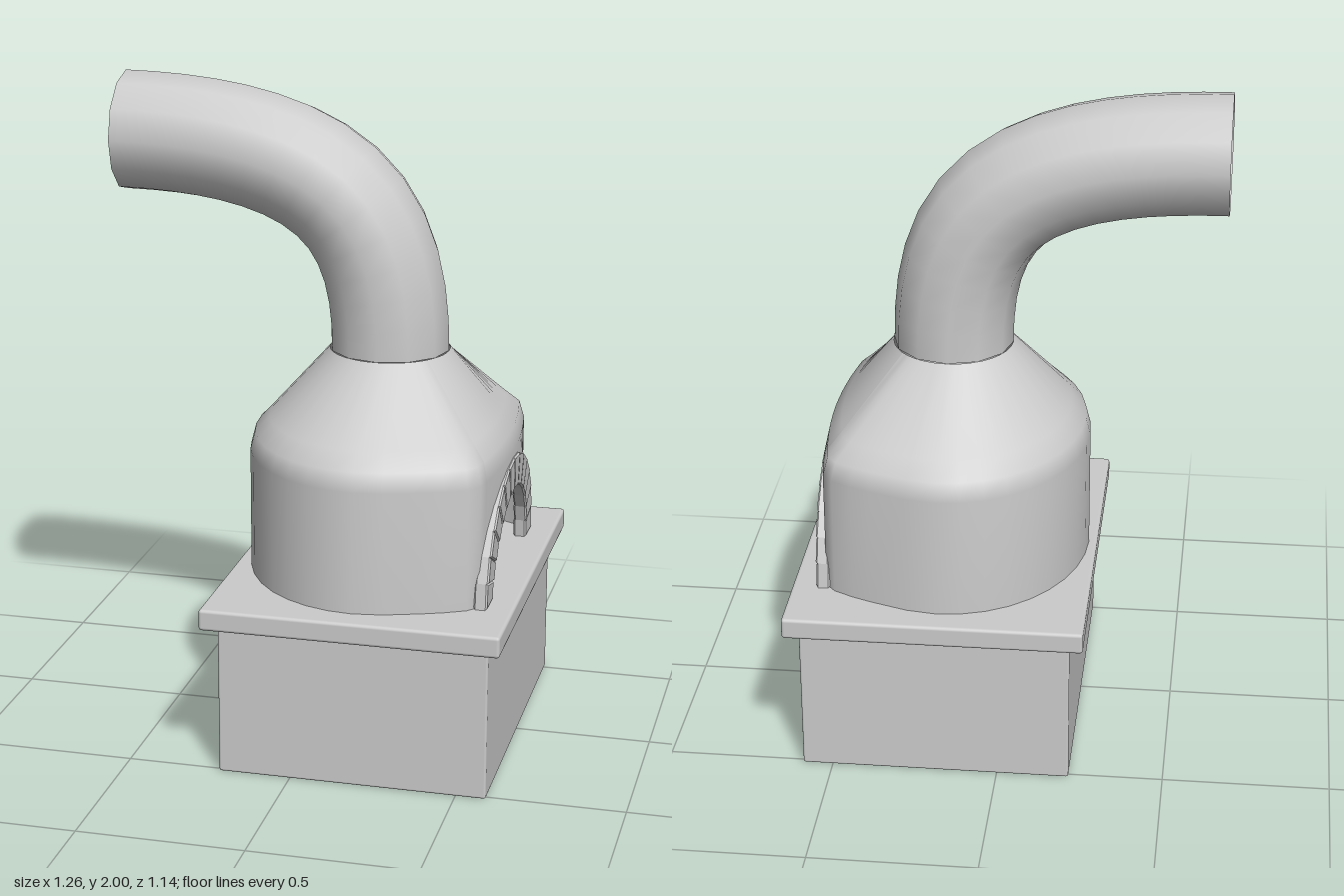
import * as THREE from 'three';
import { RoundedBoxGeometry } from 'three/addons/geometries/RoundedBoxGeometry.js';

const CX = 0.18;        // axis of the oven and flue
const FLOOR = 0.53;     // top of the slab
const FLUE_R = 0.18;

function grey(double = false) {
  return new THREE.MeshStandardMaterial({
    color: 0xcccccc,
    side: double ? THREE.DoubleSide : THREE.FrontSide,
  });
}

function slab(name, x0, x1, y0, y1, halfZ, radius) {
  const geo = new RoundedBoxGeometry(x1 - x0, y1 - y0, halfZ * 2, 2, radius);
  const mesh = new THREE.Mesh(geo, grey());
  mesh.name = name;
  mesh.position.set((x0 + x1) / 2, (y0 + y1) / 2, 0);
  return mesh;
}

// Half of the oven's plan, from the middle of the front to the back: [x, z, bottom y]
function halfPlan() {
  const pts = [];
  for (let i = 0; i <= 8; i++) {            // bowed front, cut by the arched mouth
    const a = (i / 8) * Math.PI / 2;
    const z = 0.3 * Math.sin(a);
    pts.push([0.56 - 0.25 * z * z, z, FLOOR + 0.29 * Math.cos(a)]);
  }
  for (const [x, z] of [[0.53, 0.35], [0.5, 0.385], [0.44, 0.416], [0.38, 0.44], [0.27, 0.477]]) {
    pts.push([x, z, FLOOR]);
  }
  for (let i = 0; i <= 9; i++) {            // round back
    const a = (i / 9) * Math.PI / 2;
    pts.push([CX - 0.415 * Math.sin(a), 0.49 * Math.cos(a), FLOOR]);
  }
  return pts;
}

// Oven shell: the plan rises straight, then narrows into the flue's circle
function ovenBody() {
  const half = halfPlan();
  const mirrored = half.slice(1, -1).reverse().map(([x, z, y]) => [x, -z, y]);
  const plan = [...half, ...mirrored];
  const rows = [[null, 0], [0.9, 0], [0.955, 0.06], [1.0, 0.24], [1.2, 1]];   // [y, blend to circle]
  const pos = [], index = [], n = plan.length;
  for (const [y, t] of rows) {
    for (const [x, z, bottom] of plan) {
      const a = Math.atan2(z, x - CX);
      pos.push(
        THREE.MathUtils.lerp(x, CX + FLUE_R * Math.cos(a), t),
        y ?? bottom,
        THREE.MathUtils.lerp(z, FLUE_R * Math.sin(a), t));
    }
  }
  for (let j = 0; j < rows.length - 1; j++) {
    for (let i = 0; i < n; i++) {
      const k = (i + 1) % n;
      const a = j * n + i, b = a + n, c = j * n + k, d = c + n;
      index.push(a, b, c, b, d, c);
    }
  }
  const geo = new THREE.BufferGeometry();
  geo.setAttribute('position', new THREE.Float32BufferAttribute(pos, 3));
  geo.setIndex(index);
  geo.computeVertexNormals();
  const mesh = new THREE.Mesh(geo, grey(true));
  mesh.name = 'ovenBody';
  return mesh;
}

// Bent flue pipe, open at its end
function flue() {
  const path = new THREE.CubicBezierCurve3(
    new THREE.Vector3(CX, 1.2, 0), new THREE.Vector3(CX, 1.6, 0),
    new THREE.Vector3(0.03, 1.82, 0), new THREE.Vector3(-0.632, 1.82, 0));
  const mesh = new THREE.Mesh(new THREE.TubeGeometry(path, 14, FLUE_R, 12), grey(true));
  mesh.name = 'fluePipe';
  return mesh;
}

// Ring of wedge bricks around the mouth
function mouthArch() {
  const group = new THREE.Group();
  group.name = 'mouthArch';
  const count = 14, bevel = 0.005;
  const at = (a, rz, ry) => new THREE.Vector2(rz * Math.cos(a), FLOOR + ry * Math.sin(a));
  for (let i = 0; i < count; i++) {
    const a0 = (i / count) * Math.PI, a1 = ((i + 1) / count) * Math.PI;
    const shape = new THREE.Shape([
      at(a0, 0.275, 0.25), at(a0, 0.372, 0.35), at(a1, 0.372, 0.35), at(a1, 0.275, 0.25),
    ]);
    const geo = new THREE.ExtrudeGeometry(shape, {
      depth: 0.03, bevelEnabled: true, bevelThickness: bevel, bevelSize: bevel,
      bevelOffset: -bevel, bevelSegments: 1,
    });
    geo.rotateY(Math.PI / 2);
    const brick = new THREE.Mesh(geo, grey());
    brick.name = 'archBrick';
    brick.position.x = 0.521 + 0.011 * Math.sin((a0 + a1) / 2);
    group.add(brick);
  }
  return group;
}

export function createModel() {
  const model = new THREE.Group();
  model.name = 'brickOven';
  model.add(
    slab('base', -0.217, 0.59, 0, 0.475, 0.517, 0.007),
    slab('slab', -0.26, 0.632, 0.465, FLOOR, 0.57, 0.01),
    ovenBody(),
    mouthArch(),
    flue());
  return model;
}
